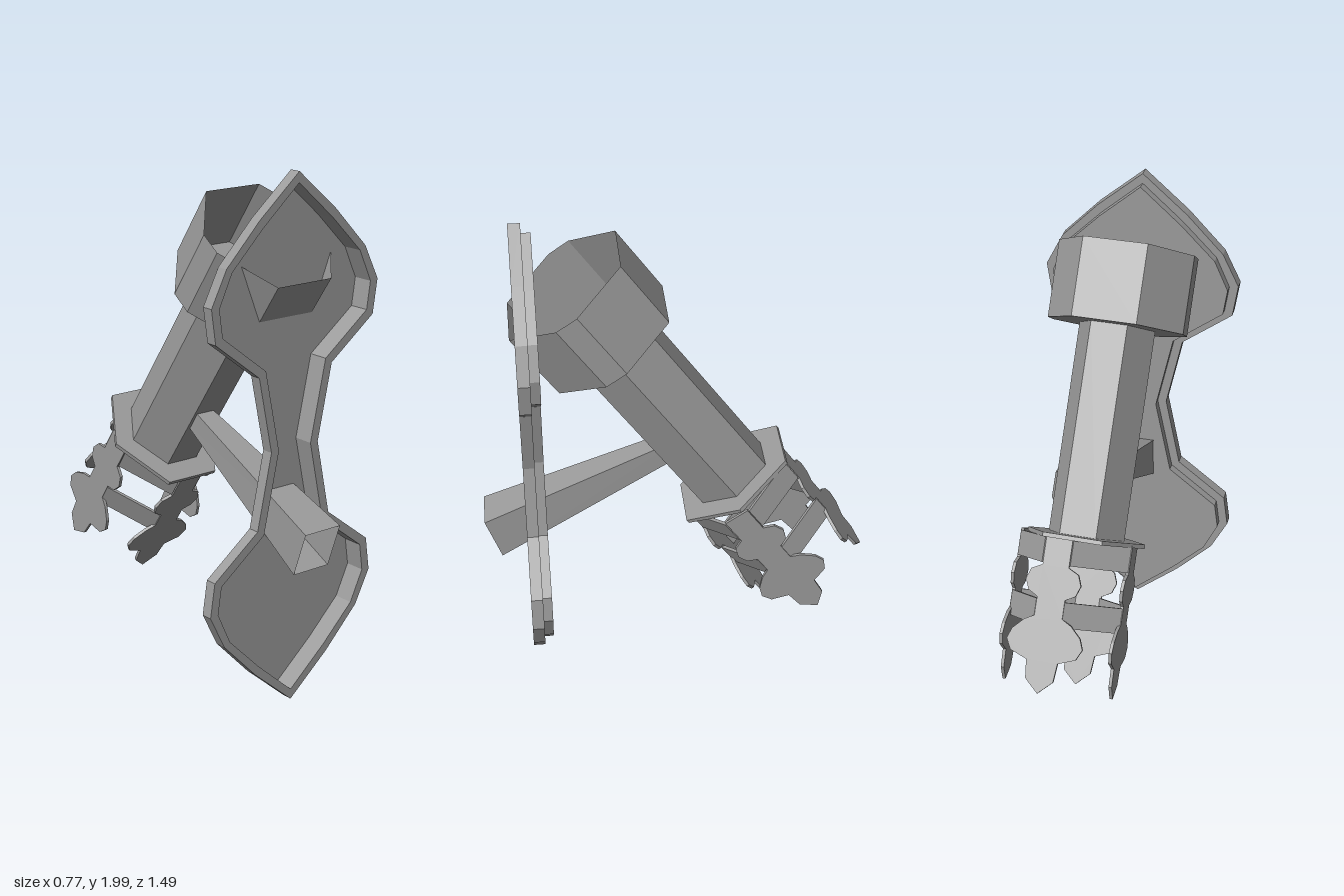
import * as THREE from 'three';

const material = new THREE.MeshStandardMaterial({ color: 0x9b9b9b, flatShading: true, side: THREE.DoubleSide });

function add(parent, name, geometry) {
  const mesh = new THREE.Mesh(geometry, material);
  mesh.name = name;
  parent.add(mesh);
  return mesh;
}

const vec2 = (pts) => pts.map(([x, y]) => new THREE.Vector2(x, y));

function shapeOf(pts, hole) {
  const shape = new THREE.Shape(vec2(pts));
  if (hole) shape.holes.push(new THREE.Path(vec2(hole)));
  return shape;
}

// Open-ended band of quads joining two rings of 3D points
function band(ringA, ringB) {
  const n = ringA.length, index = [];
  for (let i = 0; i < n; i++) {
    const j = (i + 1) % n;
    index.push(i, j, n + j, i, n + j, n + i);
  }
  const g = new THREE.BufferGeometry();
  g.setAttribute('position', new THREE.Float32BufferAttribute([...ringA, ...ringB].flat(), 3));
  g.setIndex(index);
  const flat = g.toNonIndexed();
  flat.computeVertexNormals();
  return flat;
}

// Mirror a quarter outline (top to waist) into a full symmetric outline
function plateOutline(quarter) {
  const down = quarter.slice(0, -1).reverse().map(([x, y]) => [x, 2.006 - y]);
  const right = [...quarter, ...down];
  const left = right.slice(1, -1).reverse().map(([x, y]) => [-x, y]);
  return [...right, ...left].reverse();
}

// Polygon with flat top and bottom; side > 0 adds short upright flats
function polygon(halfW, halfFlat, halfH, side = 0) {
  return side
    ? [[halfFlat, -halfH], [halfW, -side], [halfW, side], [halfFlat, halfH],
       [-halfFlat, halfH], [-halfW, side], [-halfW, -side], [-halfFlat, -halfH]]
    : [[halfFlat, -halfH], [halfW, 0], [halfFlat, halfH],
       [-halfFlat, halfH], [-halfW, 0], [-halfFlat, -halfH]];
}

const atHeight = (pts, y) => pts.map(([x, z]) => [x, y, z]);

export function createModel() {
  const model = new THREE.Group();
  model.name = 'wallLever';

  // Back plate: raised rim around a recessed sheet
  const plate = new THREE.Group();
  plate.name = 'plate';
  model.add(plate);
  const outer = plateOutline([[0, 2], [0.175, 1.85], [0.32, 1.7], [0.385, 1.57], [0.366, 1.44], [0.17, 1.29], [0.11, 1.003]]);
  const inner = plateOutline([[0, 1.96], [0.16, 1.82], [0.295, 1.685], [0.35, 1.565], [0.335, 1.46], [0.14, 1.31], [0.075, 1.003]]);
  add(plate, 'plateRim', new THREE.ExtrudeGeometry(shapeOf(outer, inner), { depth: 0.045, bevelEnabled: false }))
    .position.z = 0.535;
  add(plate, 'plateSheet', new THREE.ShapeGeometry(shapeOf(inner))).position.z = 0.5;
  add(plate, 'plateWall', band(inner.map(([x, y]) => [x, y, 0.5]), inner.map(([x, y]) => [x, y, 0.535])));

  // Hollow tapered strut from the plate to the tube
  const corners = (hw, top, bottom) => [
    [-hw, bottom[1], bottom[0]], [hw, bottom[1], bottom[0]], [hw, top[1], top[0]], [-hw, top[1], top[0]],
  ];
  add(model, 'strut', band(corners(0.082, [0.74, 0.73], [0.68, 0.56]), corners(0.035, [-0.02, 1.04], [-0.02, 0.955])));

  // Tilted assembly: local y runs up the tube axis, origin at the collar
  const barrel = new THREE.Group();
  barrel.name = 'barrel';
  barrel.position.set(0.018, 0.841, -0.233);
  barrel.rotation.x = 0.608;
  model.add(barrel);

  const headRing = polygon(0.263, 0.123, 0.245, 0.045);
  const tubeRing = polygon(0.148, 0.07, 0.147);
  const collarRing = polygon(0.23, 0.113, 0.23);
  add(barrel, 'head', band(atHeight(headRing, 0.808), atHeight(headRing, 1.105)));
  const floor = new THREE.ShapeGeometry(shapeOf(headRing, tubeRing));
  floor.rotateX(-Math.PI / 2);
  add(barrel, 'headFloor', floor).position.y = 0.808;
  add(barrel, 'tube', band(atHeight(tubeRing, 0), atHeight(tubeRing, 0.808)));
  const cap = new THREE.ShapeGeometry(shapeOf(tubeRing));
  cap.rotateX(-Math.PI / 2);
  add(barrel, 'tubeCap', cap).position.y = 0.78;
  const collar = new THREE.ExtrudeGeometry(shapeOf(collarRing, tubeRing), { depth: 0.016, bevelEnabled: false });
  collar.rotateX(Math.PI / 2);
  add(barrel, 'collar', collar).position.y = 0.008;

  // Lobed prong outline, measured down from the collar
  const half = [
    [0.05, 0], [0.05, 0.11], [0.09, 0.13], [0.105, 0.17], [0.09, 0.21], [0.053, 0.23], [0.053, 0.3],
    [0.09, 0.32], [0.13, 0.36], [0.145, 0.4], [0.125, 0.44], [0.06, 0.465], [0.053, 0.535],
  ];
  const prongPoints = [
    ...half.map(([w, s]) => [w, -s]), [0, -0.585],
    ...half.slice().reverse().map(([w, s]) => [-w, -s]),
  ];
  const prongGeometry = new THREE.ExtrudeGeometry(shapeOf(prongPoints), { depth: 0.012, bevelEnabled: false });
  prongGeometry.translate(0, 0, -0.006);

  // Four prongs set in a pinwheel, each braced to the next at two levels
  const radius = 0.217, offset = 0.022, edge = 0.05;
  const start = [offset + edge, -radius], end = [radius, offset - edge];
  const dx = end[0] - start[0], dz = end[1] - start[1];
  const braceGeometry = new THREE.BoxGeometry(Math.hypot(dx, dz), 0.095, 0.012);
  ['back', 'right', 'front', 'left'].forEach((side, i) => {
    const quarter = new THREE.Group();
    quarter.name = side + 'Quarter';
    quarter.position.x = 0.026;
    quarter.rotation.y = i * Math.PI / 2;
    barrel.add(quarter);
    add(quarter, side + 'Prong', prongGeometry).position.set(offset, 0, -radius);
    for (const s of [0.055, 0.285]) {
      const brace = add(quarter, side + 'Brace', braceGeometry);
      brace.position.set((start[0] + end[0]) / 2, -s, (start[1] + end[1]) / 2);
      brace.rotation.y = -Math.atan2(dz, dx);
    }
  });
  return model;
}
